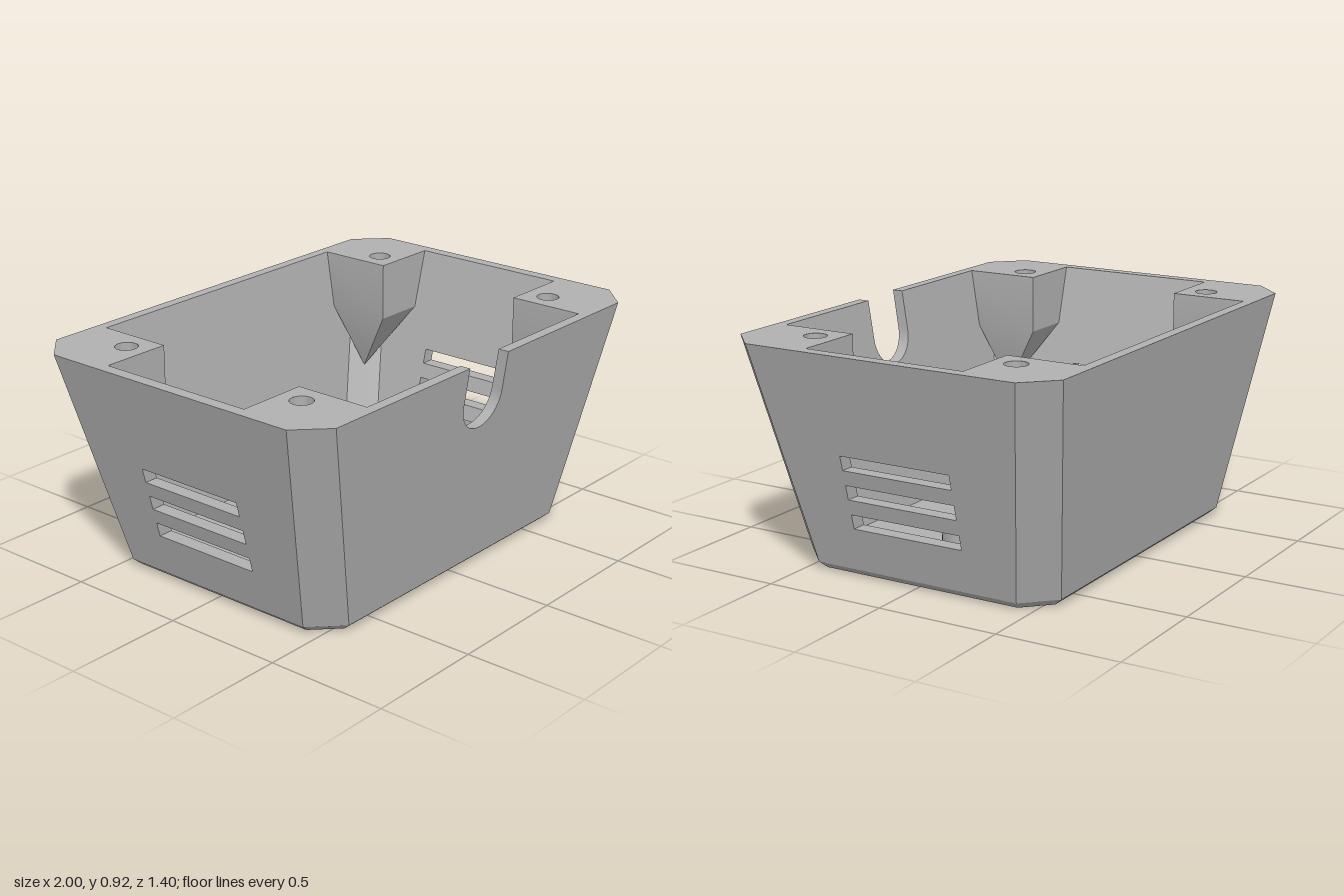
import * as THREE from 'three';
import { toCreasedNormals } from 'three/addons/utils/BufferGeometryUtils.js';

const TOP = 0.92, BEVEL = 0.03, FLOOR = 0.05;
const lerp = (y, y0, a, b) => a + (b - a) * (y - y0) / (TOP - y0);
// half sizes of the tapering shell at height y
const outX = y => lerp(y, BEVEL, 0.77, 1.0);
const outZ = y => lerp(y, BEVEL, 0.565, 0.7);
const inX = y => lerp(y, FLOOR, 0.71, 0.95);
const inZ = y => lerp(y, FLOOR, 0.515, 0.655);
const OUT_C = 0.12, IN_C = 0.1;
const V = (x, y, z) => new THREE.Vector3(x, y, z);
const P = (x, y) => new THREE.Vector2(x, y);

const octagon = (x, z, c) => [
  [x - c, z], [x, z - c], [x, c - z], [x - c, -z], [c - x, -z], [-x, c - z], [-x, z - c], [c - x, z]];

const circle = (x, y, r) => new THREE.Path().absarc(x, y, r, 0, Math.PI * 2, true);

// strip of quads between rings of points
function loft(rings, closed = false, flip = false) {
  const pos = [];
  const tri = (a, b, c) => (flip ? [a, c, b] : [a, b, c]).forEach(p => pos.push(p.x, p.y, p.z));
  for (let r = 0; r + 1 < rings.length; r++) {
    const a = rings[r], b = rings[r + 1], n = a.length;
    for (let i = 0; i < (closed ? n : n - 1); i++) {
      const j = (i + 1) % n;
      tri(a[i], b[i], b[j]);
      if (a[i].distanceTo(a[j]) > 1e-6) tri(a[i], b[j], a[j]);
    }
  }
  const g = new THREE.BufferGeometry();
  g.setAttribute('position', new THREE.Float32BufferAttribute(pos, 3));
  return toCreasedNormals(g, 0.5);
}

// flat shape (u, y) leaned onto a sloping wall and turned to its side
function wallFace(shape, half, angle, inward) {
  const g = new THREE.ShapeGeometry(shape, 16), p = g.attributes.position;
  for (let i = 0; i < p.count; i++) p.setZ(i, half(p.getY(i)));
  if (inward) g.index.array.reverse();
  g.computeVertexNormals();
  return g.rotateY(angle);
}

// sides of an opening between two wall surfaces
const openingSides = (pts, from, to, angle, closed) => loft(
  [from, to].map(h => pts.map(p => V(p.x, p.y, h(p.y)))), closed).rotateY(angle);

const flat = (shape, y, down) => {
  const g = new THREE.ShapeGeometry(shape, 40);
  if (down) {
    g.index.array.reverse();
    g.computeVertexNormals();
  }
  return g.rotateX(-Math.PI / 2).translate(0, y, 0);
};

const lathe = (pts, x, z) => toCreasedNormals(
  new THREE.LatheGeometry(pts.map(p => P(...p)), 32), 0.5).translate(x, 0, z);

export function createModel() {
  const group = new THREE.Group();
  const grey = new THREE.MeshStandardMaterial({ color: 0xb0b0b0, side: THREE.DoubleSide });
  grey.name = 'grey plastic';
  const add = (name, geo) => {
    const m = new THREE.Mesh(geo, grey);
    m.name = name;
    group.add(m);
  };

  // openings: cable notch, vent slots, back panel recess
  const notch = [P(-0.12, TOP)];
  for (let i = 0; i <= 20; i++) {
    const a = Math.PI * (1 + i / 20);
    notch.push(P(0.12 * Math.cos(a), 0.76 + 0.12 * Math.sin(a)));
  }
  notch.push(P(0.12, TOP));
  const slots = [0.21, 0.333, 0.455].map(y =>
    [P(-0.24, y), P(-0.24, y + 0.06), P(0.24, y + 0.06), P(0.24, y)]);
  const panel = new THREE.Shape();
  const pw = 0.48, y0 = 0.13, y1 = 0.74, r = 0.08;
  panel.absarc(pw - r, y0 + r, r, -Math.PI / 2, 0);
  panel.absarc(pw - r, y1 - r, r, 0, Math.PI / 2);
  panel.absarc(r - pw, y1 - r, r, Math.PI / 2, Math.PI);
  panel.absarc(r - pw, y0 + r, r, Math.PI, Math.PI * 1.5);
  panel.closePath();
  const panelPts = panel.getPoints(10).slice(0, -1);

  // four double-skinned walls
  const walls = [
    { name: 'frontWall', angle: 0, notched: true },
    { name: 'leftWall', angle: Math.PI / 2, side: true },
    { name: 'backWall', angle: Math.PI, recessed: true },
    { name: 'rightWall', angle: -Math.PI / 2, side: true }];
  for (const w of walls) {
    const outer = w.side ? outX : outZ, inner = w.side ? inX : inZ;
    for (const inward of [false, true]) {
      const across = inward ? (w.side ? inZ : inX) : (w.side ? outZ : outX);
      const c = inward ? IN_C : OUT_C, base = inward ? FLOOR : BEVEL;
      const b = across(base) - c, t = across(TOP) - c;
      const shape = new THREE.Shape([P(-b, base), P(b, base), P(t, TOP),
        ...(w.notched ? [...notch].reverse() : []), P(-t, TOP)]);
      if (w.side) slots.forEach(s => shape.holes.push(new THREE.Path(s)));
      if (w.recessed && !inward) shape.holes.push(new THREE.Path(panelPts));
      add(w.name + (inward ? 'Inside' : 'Outside'),
        wallFace(shape, inward ? inner : outer, w.angle, inward));
    }
    if (w.notched) add('cableNotch', openingSides(notch, outer, inner, w.angle, false));
    if (w.side) slots.forEach(s => add('ventSlot', openingSides(s, outer, inner, w.angle, true)));
    if (w.recessed) {
      const deep = y => outer(y) - 0.018;
      add('backPanelEdge', openingSides(panelPts, outer, deep, w.angle, true));
      add('backPanel', wallFace(new THREE.Shape(panelPts), deep, w.angle, false));
    }
  }

  // corner chamfers and corner screw posts
  for (const sx of [-1, 1]) for (const sz of [-1, 1]) {
    const flip = sx * sz < 0;
    const chamfer = (hx, hz, c, y) => [
      V(sx * (hx(y) - c), y, sz * hz(y)), V(sx * hx(y), y, sz * (hz(y) - c))];
    add('outerChamfer', loft([TOP, BEVEL].map(y => chamfer(outX, outZ, OUT_C, y)), false, flip));
    add('innerChamfer', loft([TOP, FLOOR].map(y => chamfer(inX, inZ, IN_C, y)), false, !flip));
    const section = y => [
      V(sx * inX(y), y, sz * 0.34), V(sx * 0.66, y, sz * 0.34), V(sx * 0.66, y, sz * inZ(y))];
    const tipY = 0.4;
    const tip = V(sx * (inX(tipY) - IN_C / 2), tipY, sz * (inZ(tipY) - IN_C / 2));
    add('screwPost', loft([[tip, tip, tip], section(0.68), section(TOP)], false, flip));
    add('screwHole', lathe([[0.045, TOP], [0.045, 0.74], [0, 0.74]], sx * 0.76, sz * 0.44));
  }

  // top rim, running around the posts and broken by the notch
  const iz = inZ(TOP), ix = inX(TOP);
  const halfInner = [[0.12, iz], [0.66, iz], [0.66, 0.34], [ix, 0.34],
    [ix, -0.34], [0.66, -0.34], [0.66, -iz]];
  const rimPts = [[0.12, 0.7], ...octagon(1, 0.7, OUT_C), [-0.12, 0.7],
    ...halfInner.map(([x, z]) => [-x, z]), ...[...halfInner].reverse()];
  const rim = new THREE.Shape(rimPts.map(([x, z]) => P(x, -z)));
  for (const sx of [-1, 1]) for (const sz of [-1, 1])
    rim.holes.push(circle(sx * 0.76, sz * 0.44, 0.045));
  add('topRim', flat(rim, TOP));

  // bevelled base with centre hole, raised bosses and blind screw holes
  const ring = (x, z, c, y) => octagon(x, z, c).map(p => V(p[0], y, p[1]));
  add('baseBevel', loft([ring(0.77, 0.565, OUT_C, BEVEL), ring(0.735, 0.53, 0.1, 0)], true));
  const plate = (x, z, c) => new THREE.Shape(octagon(x, z, c).map(p => P(p[0], -p[1])));
  const under = plate(0.735, 0.53, 0.1);
  under.holes.push(circle(0, 0, 0.18), circle(0.42, 0, 0.042), circle(-0.42, 0, 0.042));
  add('baseUnderside', flat(under, 0, true));
  const floor = plate(0.71, 0.515, IN_C);
  floor.holes.push(circle(0, 0, 0.18));
  add('floor', flat(floor, FLOOR));
  add('centreHole', lathe([[0.18, FLOOR], [0.18, 0]], 0, 0));
  for (const x of [-0.42, 0.42]) {
    add('boss', lathe([[0.09, FLOOR], [0.09, 0.15], [0, 0.15]], x, 0));
    add('baseScrewHole', lathe([[0, 0.1], [0.042, 0.1], [0.042, 0]], x, 0));
  }
  return group;
}
